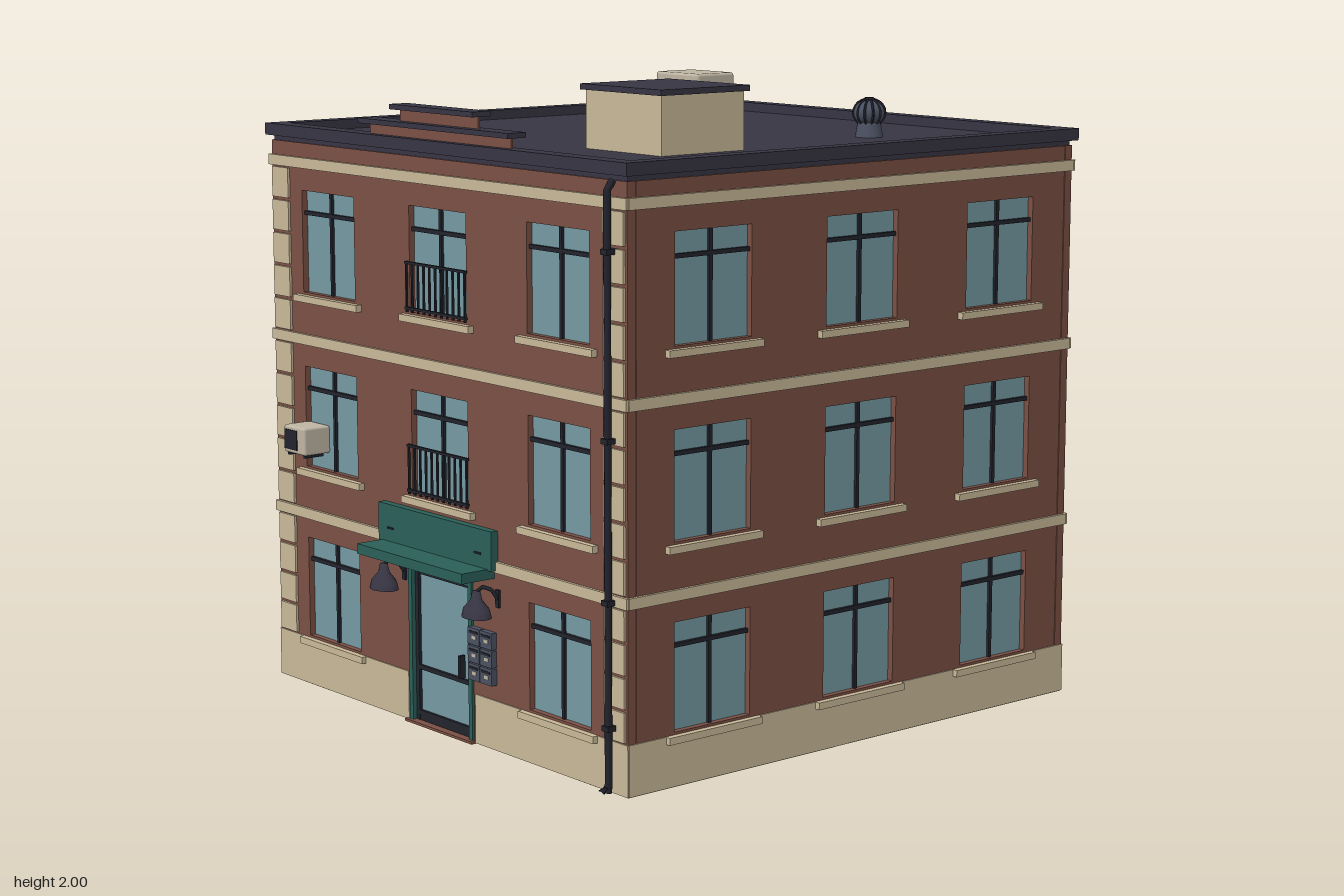
import * as THREE from 'three';
import { RoundedBoxGeometry } from 'three/addons/geometries/RoundedBoxGeometry.js';

const mat = (name, color, side = THREE.FrontSide) => {
  const m = new THREE.MeshStandardMaterial({ color, side });
  m.name = name;
  return m;
};

export function createModel() {
  const brick = mat('brick', 0x7a5044);
  const stone = mat('stone', 0xc9b898);
  const glass = mat('glass', 0x7499a2);
  const roofing = mat('roofing', 0x373543);
  const iron = mat('iron', 0x22232c);
  const green = mat('green', 0x2a5f58);
  const steel = mat('steel', 0x4a5161);
  const casing = mat('casing', 0xbfb5a3);

  const group = (name, parent) => {
    const g = new THREE.Group();
    g.name = name;
    parent.add(g);
    return g;
  };
  const add = (parent, name, geo, material, x = 0, y = 0, z = 0) => {
    const m = new THREE.Mesh(geo, material);
    m.name = name;
    m.position.set(x, y, z);
    parent.add(m);
    return m;
  };
  // box given by its minimum and maximum corners
  const box = (parent, name, material, x0, x1, y0, y1, z0, z1) =>
    add(parent, name, new THREE.BoxGeometry(x1 - x0, y1 - y0, z1 - z0), material,
      (x0 + x1) / 2, (y0 + y1) / 2, (z0 + z1) / 2);
  const tube = (parent, name, material, pts, r, seg = 24) =>
    add(parent, name, new THREE.TubeGeometry(
      new THREE.CatmullRomCurve3(pts.map(p => new THREE.Vector3(...p)), false, 'catmullrom', 0.2), seg, r, 8), material);

  const model = new THREE.Group();
  model.name = 'apartmentBuilding';

  const COLS = [-0.59, 0, 0.59], ROWS = [0.165, 0.73, 1.3];
  const WW = 0.146, WH = 0.328, T = 0.03, TOP = 1.78;

  // window: recessed pane, cross bars and a sill
  function addWindow(parent, x, y) {
    const w = group('window', parent);
    w.position.set(x, y, 0);
    box(w, 'pane', glass, -WW, WW, 0, WH, -0.026, -0.02);
    box(w, 'mullion', iron, -0.006, 0.006, 0, WH, -0.022, -0.011);
    box(w, 'transom', iron, -WW, WW, WH - 0.079, WH - 0.066, -0.022, -0.009);
    box(w, 'sill', stone, -0.18, 0.18, -0.03, -0.008, -0.02, 0.02);
  }

  // one facade, outer face at local z = 0
  function addFacade(name, half, isFront, quoins) {
    const f = group(name, model);
    const s = new THREE.Shape();
    s.moveTo(-half, 0);
    if (isFront) {
      s.lineTo(-0.163, 0); s.lineTo(-0.163, 0.5); s.lineTo(0.163, 0.5); s.lineTo(0.163, 0);
    }
    s.lineTo(half, 0); s.lineTo(half, TOP); s.lineTo(-half, TOP); s.closePath();
    for (const x of COLS) for (const y of ROWS) {
      if (isFront && x === 0 && y === ROWS[0]) continue;
      const h = new THREE.Path();
      h.moveTo(x - WW, y); h.lineTo(x - WW, y + WH); h.lineTo(x + WW, y + WH); h.lineTo(x + WW, y); h.closePath();
      s.holes.push(h);
      addWindow(f, x, y);
    }
    add(f, 'wall', new THREE.ExtrudeGeometry(s, { depth: T, bevelEnabled: false }), brick, 0, 0, -T);

    // stone base and storey bands
    const e = 0.909;
    const spans = isFront ? [[-e, -0.175], [0.175, e]] : [[-e, e]];
    for (const [a, b] of spans) box(f, 'base', stone, a, b, 0.002, 0.157, -T - 0.004, 0.004);
    for (const y of [0.557, 1.13, 1.7]) box(f, 'band', stone, -e - 0.003, e + 0.003, y, y + 0.034, -T - 0.004, 0.01);

    // corner blocks
    if (quoins) for (const side of [-1, 1]) for (const [y0, y1] of [[0.157, 0.557], [0.591, 1.13], [1.164, 1.7]]) {
      const n = Math.round((y1 - y0) / 0.108), h = (y1 - y0) / n;
      for (let i = 0; i < n; i++) {
        const x = side * 0.851;
        box(f, 'cornerBlock', stone, x - 0.046, x + 0.046, y0 + i * h + 0.005, y0 + (i + 1) * h - 0.005, -T - 0.003, 0.008);
      }
    }
    return f;
  }

  const ZC = -0.032;
  const front = addFacade('frontFacade', 0.906, true, true);
  front.position.z = 0.878;
  const back = addFacade('backFacade', 0.906, false, true);
  back.position.z = -0.943;
  back.rotation.y = Math.PI;
  for (const s of [-1, 1]) {
    const side = addFacade(s > 0 ? 'leftFacade' : 'rightFacade', 0.878, false, false);
    side.position.set(s * 0.906, 0, ZC);
    side.rotation.y = s * Math.PI / 2;
  }

  // entrance door
  const door = group('door', front);
  for (const s of [-1, 1]) {
    box(door, 'doorJamb', green, s * 0.156 - 0.009, s * 0.156 + 0.009, 0, 0.505, -T, 0.008);
    box(door, 'doorStile', iron, s * 0.14 - 0.009, s * 0.14 + 0.009, 0, 0.49, -0.028, -0.006);
  }
  box(door, 'doorHead', green, -0.165, 0.165, 0.49, 0.507, -T, 0.008);
  for (const [a, b] of [[0, 0.04], [0.172, 0.186], [0.478, 0.49]]) box(door, 'doorRail', iron, -0.14, 0.14, a, b, -0.028, -0.007);
  box(door, 'doorGlass', glass, -0.14, 0.14, 0.03, 0.485, -0.022, -0.016);
  box(door, 'doorHandle', iron, 0.094, 0.104, 0.19, 0.262, -0.012, 0.008);
  box(door, 'threshold', brick, -0.175, 0.175, 0, 0.008, -T, 0.02);

  // sign board and canopy
  box(front, 'signBoard', green, -0.296, 0.292, 0.563, 0.685, 0, 0.026);
  box(front, 'canopy', green, -0.277, 0.273, 0.535, 0.567, 0, 0.122);
  for (const x of [-0.23, 0.225]) box(front, 'signBracket', iron, x - 0.016, x + 0.016, 0.607, 0.613, 0.02, 0.029);

  // gooseneck wall lamps
  for (const x of [-0.24, 0.245]) {
    const lamp = group('wallLamp', front);
    lamp.position.set(x, 0, 0);
    const shade = add(lamp, 'lampShade', new THREE.LatheGeometry(
      [[0.056, -0.045], [0.048, -0.018], [0.022, 0.008], [0.015, 0.035], [0, 0.037]].map(p => new THREE.Vector2(...p)), 14),
      steelShade(), -0.003, 0.463, 0.045);
    shade.scale.set(1, 1, 0.72);
    tube(lamp, 'lampArm', iron, [[-0.003, 0.495, 0.045], [0.015, 0.512, 0.035], [0.04, 0.505, 0.02], [0.05, 0.475, 0.003]], 0.006);
    box(lamp, 'lampPlate', iron, 0.042, 0.058, 0.45, 0.505, 0, 0.008);
  }
  function steelShade() {
    roofing.side = THREE.DoubleSide;
    return roofing;
  }

  // mailboxes
  const mail = group('mailboxes', front);
  for (let c = 0; c < 2; c++) for (let r = 0; r < 3; r++) {
    const x = 0.19 + c * 0.062, y = 0.231 + r * 0.056;
    box(mail, 'mailbox', steel, x - 0.029, x + 0.029, y - 0.026, y + 0.026, 0, 0.02);
    box(mail, 'mailSlot', iron, x - 0.021, x + 0.021, y + 0.009, y + 0.017, 0.018, 0.022);
    box(mail, 'mailLabel', casing, x - 0.006, x + 0.014, y - 0.008, y + 0.003, 0.018, 0.022);
  }

  // balcony railings on the middle windows
  for (const y of [ROWS[1], ROWS[2]]) {
    const rail = group('balconyRailing', front);
    rail.position.y = y;
    for (const h of [0.012, 0.153]) box(rail, 'rail', iron, -0.156, 0.156, h - 0.004, h + 0.004, 0.004, 0.014);
    for (let i = 0; i <= 10; i++) {
      const x = -0.15 + i * 0.03;
      box(rail, 'baluster', iron, x - 0.003, x + 0.003, 0, 0.153, 0.006, 0.012);
    }
  }

  // window air conditioner
  const cooler = group('windowAirConditioner', front);
  add(cooler, 'coolerCase', new RoundedBoxGeometry(0.12, 0.09, 0.1, 2, 0.008), casing, -0.69, 0.83, 0.028);
  box(cooler, 'coolerGrille', iron, -0.742, -0.672, 0.798, 0.862, 0.074, 0.081);
  for (const x of [-0.735, -0.645]) box(cooler, 'coolerFoot', iron, x - 0.006, x + 0.006, 0.776, 0.788, 0, 0.07);

  // drainpipes on two opposite corners
  for (const f of [front, back]) {
    const drain = group('drainpipe', f);
    tube(drain, 'pipe', iron, [[0.846, 1.78, 0.004], [0.846, 1.755, 0.022], [0.846, 1.7, 0.024], [0.846, 0.06, 0.024],
      [0.846, 0.03, 0.03], [0.846, 0.012, 0.052]], 0.011, 60);
    for (const y of [0.2, 0.57, 1.04, 1.58]) box(drain, 'pipeClamp', iron, 0.831, 0.861, y - 0.008, y + 0.008, 0, 0.038);
  }

  // roof deck and parapet coping
  const roof = group('roof', model);
  box(roof, 'roofDeck', roofing, -0.9, 0.9, 1.775, 1.803, -0.937, 0.872);
  for (const s of [-1, 1]) box(roof, 'coping', roofing, s * 0.893 - 0.028, s * 0.893 + 0.028, 1.796, 1.834, -0.957, 0.893);
  box(roof, 'coping', roofing, -0.9, 0.9, 1.796, 1.834, 0.833, 0.893);
  box(roof, 'coping', roofing, -0.9, 0.9, 1.796, 1.834, -0.957, -0.9);

  // stepped pediment over the front
  box(roof, 'pedimentLower', brick, -0.36, 0.36, 1.83, 1.868, 0.86, 0.868);
  box(roof, 'pedimentLowerCap', roofing, -0.385, 0.382, 1.866, 1.882, 0.83, 0.897);
  box(roof, 'pedimentUpper', brick, -0.2, 0.2, 1.88, 1.92, 0.86, 0.868);
  box(roof, 'pedimentUpperCap', roofing, -0.215, 0.21, 1.918, 1.934, 0.83, 0.897);

  // stair house
  box(roof, 'stairHouse', stone, 0.212, 0.568, 1.8, 1.985, 0.145, 0.47);
  box(roof, 'stairHouseCap', roofing, 0.2, 0.58, 1.982, 2, 0.132, 0.482);

  // rooftop air conditioner
  const unit = group('roofAirConditioner', roof);
  add(unit, 'unitCase', new RoundedBoxGeometry(0.22, 0.138, 0.165, 2, 0.01), casing, -0.43, 1.896, -0.517);
  box(unit, 'unitGrille', iron, -0.51, -0.38, 1.845, 1.95, -0.602, -0.597);
  box(unit, 'unitSidePanel', steel, -0.543, -0.538, 1.85, 1.94, -0.555, -0.47);
  for (const x of [-0.51, -0.35]) box(unit, 'unitFoot', iron, x - 0.012, x + 0.012, 1.8, 1.832, -0.59, -0.445);

  // ribbed turbine vent
  const vent = group('turbineVent', roof);
  vent.position.set(0.46, 1.8, -0.482);
  add(vent, 'ventNeck', new THREE.CylinderGeometry(0.035, 0.045, 0.06, 16), steel, 0, 0.03, 0);
  add(vent, 'ventHead', new THREE.SphereGeometry(0.052, 16, 10), steel, 0, 0.08, 0).scale.y = 0.8;
  for (let i = 0; i < 12; i++) {
    const blade = add(vent, 'ventBlade', new THREE.TorusGeometry(0.052, 0.004, 4, 12, Math.PI), iron, 0, 0.08, 0);
    blade.rotation.set(0, i * Math.PI / 6, -Math.PI / 2, 'YXZ');
    blade.scale.x = 0.85;
  }
  add(vent, 'ventCap', new THREE.CylinderGeometry(0.014, 0.022, 0.01, 12), iron, 0, 0.123, 0);

  return model;
}
